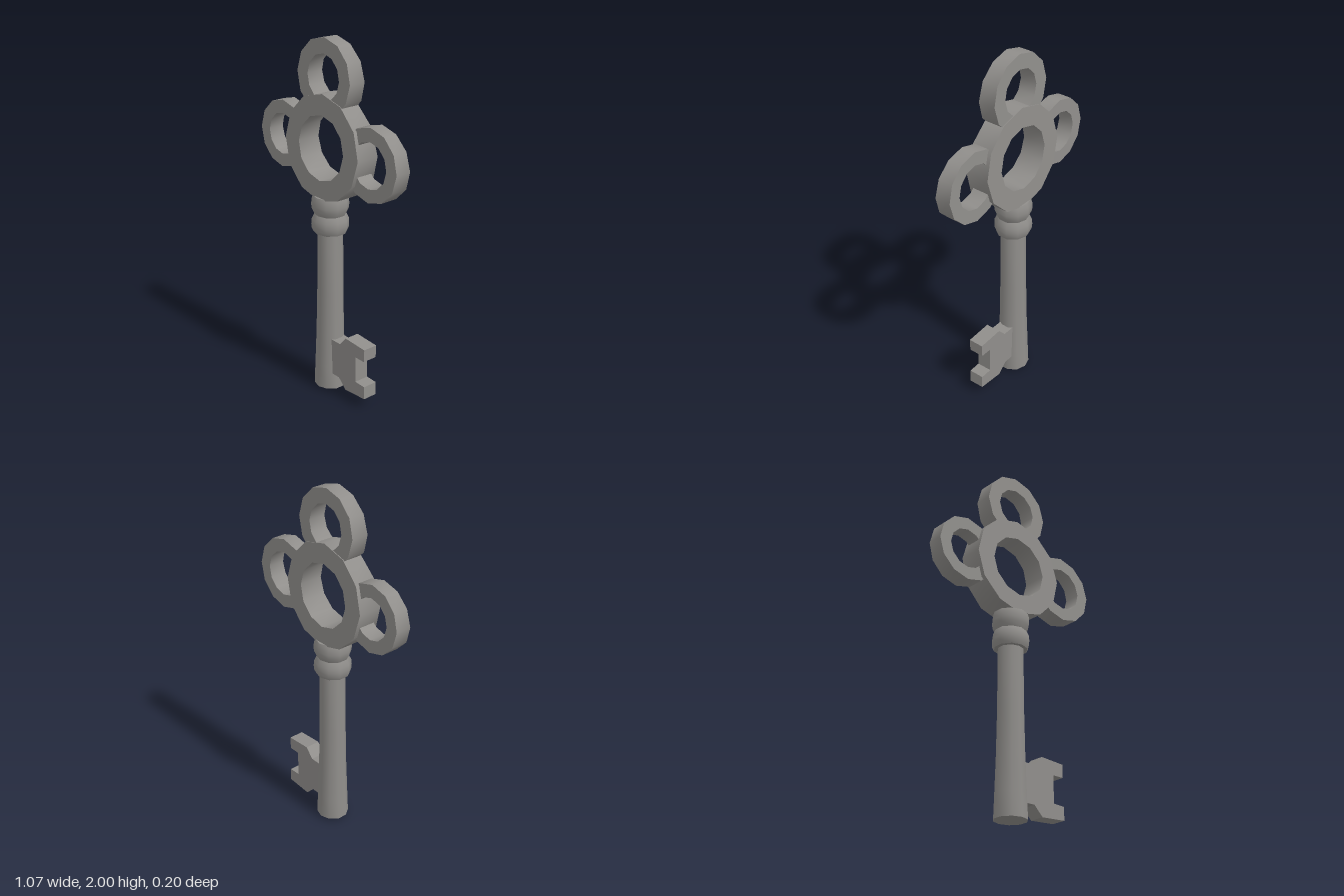
import * as THREE from 'three';
import { toCreasedNormals } from 'three/addons/utils/BufferGeometryUtils.js';

const SIDES = 12;

// Ring (or arc, leaving `gap` segments open on each side of the direction opposite `facing`).
// Half thickness runs from zLow at its bottom to zHigh at its top.
function ringGeometry({ x, y, outer, inner, zLow, zHigh, facing = 0, gap = 0 }) {
  const step = (Math.PI * 2) / SIDES;
  const point = (r, a) => new THREE.Vector2(x + r * Math.cos(a), y + r * Math.sin(a));
  const arc = (r) => {
    const pts = [];
    const first = -SIDES / 2 + gap;
    const last = gap ? SIDES / 2 - gap : SIDES / 2 - 1;
    for (let i = first; i <= last; i++) pts.push(point(r, facing + i * step));
    return pts;
  };
  let shape;
  if (gap) {
    shape = new THREE.Shape([...arc(outer), ...arc(inner).reverse()]);
  } else {
    shape = new THREE.Shape(arc(outer));
    shape.holes.push(new THREE.Path(arc(inner)));
  }
  const geo = new THREE.ExtrudeGeometry(shape, { depth: 2, bevelEnabled: false });
  geo.translate(0, 0, -1);
  // Thin the ring towards its top
  const pos = geo.attributes.position;
  for (let i = 0; i < pos.count; i++) {
    const t = (pos.getY(i) - (y - outer)) / (2 * outer);
    pos.setZ(i, pos.getZ(i) * THREE.MathUtils.lerp(zLow, zHigh, t));
  }
  return toCreasedNormals(geo, 0.7);
}

// Turned part from [radius, height] pairs
function turned(profile) {
  const geo = new THREE.LatheGeometry(profile.map(([r, h]) => new THREE.Vector2(r, h)), 10);
  geo.scale(1.03, 1, 1);
  geo.translate(-0.009, 0, 0);
  return toCreasedNormals(geo, 0.75);
}

export function createModel() {
  const model = new THREE.Group();
  model.name = 'key';
  const iron = new THREE.MeshStandardMaterial({ color: 0x908e8b });
  iron.name = 'grey iron';

  const add = (name, geo) => {
    const mesh = new THREE.Mesh(geo, iron);
    mesh.name = name;
    model.add(mesh);
  };

  // Bow: one large ring with three smaller ones around it
  add('mainRing', ringGeometry({ x: -0.008, y: 1.422, outer: 0.288, inner: 0.177, zLow: 0.079, zHigh: 0.056 }));
  add('topRing', ringGeometry({ x: -0.008, y: 1.795, outer: 0.205, inner: 0.123, zLow: 0.056, zHigh: 0.042, facing: Math.PI / 2, gap: 1 }));
  add('leftRing', ringGeometry({ x: 0.34, y: 1.414, outer: 0.197, inner: 0.124, zLow: 0.051, zHigh: 0.04, gap: 1 }));
  add('rightRing', ringGeometry({ x: -0.35, y: 1.417, outer: 0.187, inner: 0.115, zLow: 0.05, zHigh: 0.04, facing: Math.PI, gap: 1 }));

  // Collar: two rounded bands
  add('collar', turned([
    [0, 0.945], [0.09, 0.945], [0.099, 0.965], [0.101, 0.99], [0.099, 1.018],
    [0.085, 1.048], [0.098, 1.076], [0.101, 1.1], [0.099, 1.13], [0.092, 1.152], [0, 1.152],
  ]));

  // Shaft, flaring towards the tip
  add('shaft', turned([
    [0, 0], [0.088, 0.015], [0.083, 0.15], [0.076, 0.35], [0.071, 0.6], [0.069, 0.96], [0, 0.96],
  ]));

  // Bit: notched plate
  const outline = [
    [0, 0.11], [0.115, 0.11], [0.17, 0.056], [0.324, 0.066], [0.322, 0.14], [0.252, 0.143],
    [0.25, 0.294], [0.318, 0.294], [0.32, 0.366], [0.17, 0.376], [0.122, 0.322], [0, 0.322],
  ].map(([px, py]) => new THREE.Vector2(px, py));
  const bit = new THREE.ExtrudeGeometry(new THREE.Shape(outline), { depth: 0.086, bevelEnabled: false });
  bit.translate(0, 0, -0.043);
  add('bit', bit);

  return model;
}
